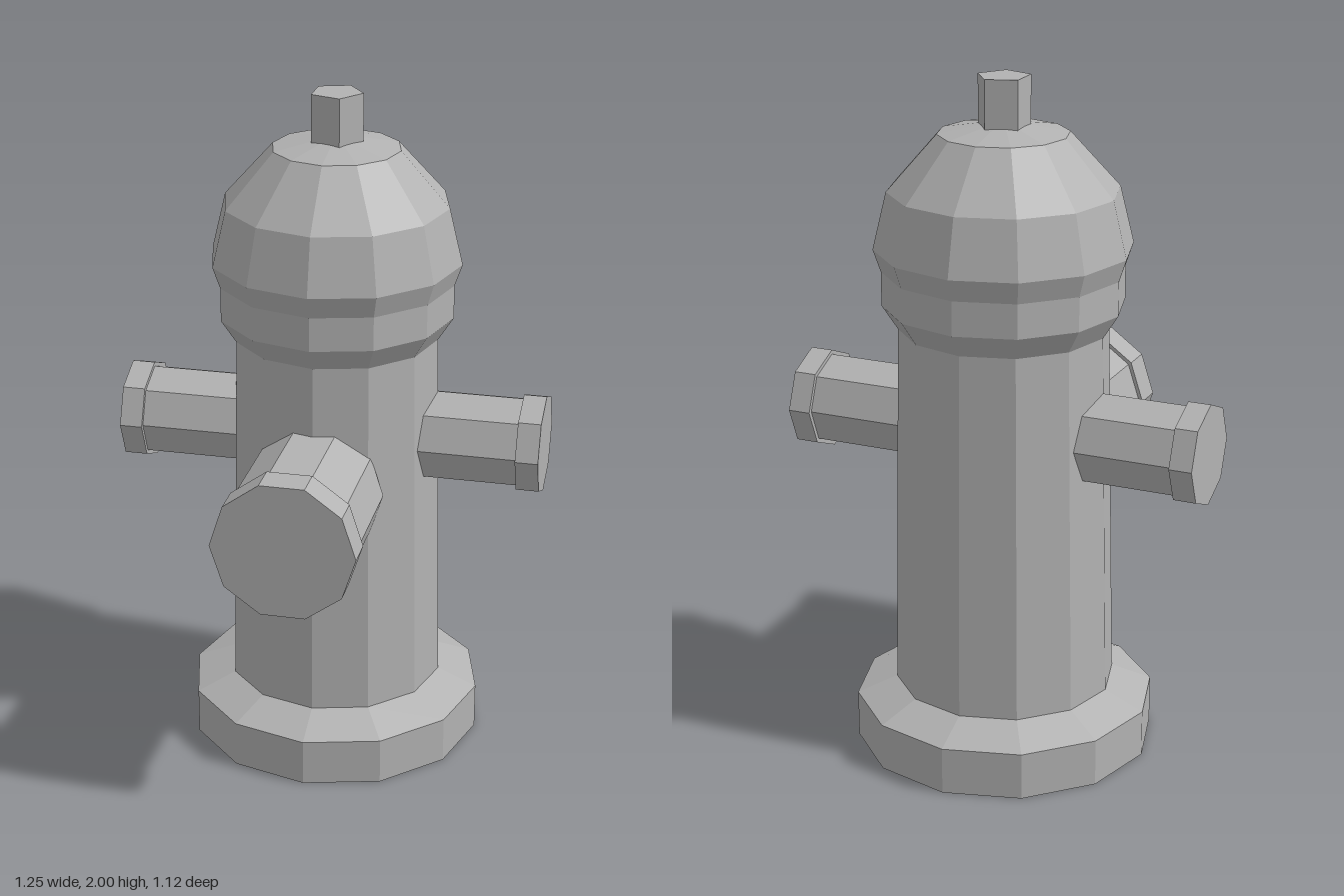
import * as THREE from 'three';

const AXIS_Z = -0.115; // centre line of the upright body

export function createModel() {
  const model = new THREE.Group();
  model.name = 'hydrant';
  const iron = new THREE.MeshStandardMaterial({ color: 0xb2b2b2, flatShading: true, side: THREE.DoubleSide });
  iron.name = 'grey iron';

  function add(name, geometry, parent = model) {
    const mesh = new THREE.Mesh(geometry, iron);
    mesh.name = name;
    parent.add(mesh);
    return mesh;
  }

  // Twelve-sided turned part from [radius, height] pairs, bottom to top
  function turned(name, profile) {
    const points = profile.map(([r, y]) => new THREE.Vector2(r, y));
    add(name, new THREE.LatheGeometry(points, 12)).position.z = AXIS_Z;
  }

  // Body, hollow and open underneath
  turned('baseFlange', [[0.443, 0], [0.443, 0.14], [0.325, 0.19]]);
  turned('barrel', [[0.325, 0.19], [0.303, 1.28]]);
  turned('bonnet', [
    [0.303, 1.28], [0.348, 1.35], [0.348, 1.45], [0.37, 1.515],
    [0.33, 1.68], [0.187, 1.84], [0, 1.875],
  ]);

  // Five-sided operating nut, one corner towards +x
  const nut = new THREE.CylinderGeometry(0.078, 0.078, 0.15, 5, 1, false, Math.PI / 2);
  add('operatingNut', nut).position.set(0, 1.925, AXIS_Z);

  // Outlet along its own +y: open pipe, then a slightly wider closed cap
  function outlet(name, sides, start, joint, end, pipeR, capR) {
    const group = new THREE.Group();
    group.name = name;
    const pipe = new THREE.CylinderGeometry(pipeR, pipeR, joint - start, sides, 1, true, Math.PI / 2);
    const cap = new THREE.CylinderGeometry(capR, capR, end - joint, sides, 1, false, Math.PI / 2);
    add(name + 'Pipe', pipe, group).position.y = (start + joint) / 2;
    add(name + 'Cap', cap, group).position.y = (joint + end) / 2;
    model.add(group);
    return group;
  }

  // Large front outlet
  const front = outlet('frontOutlet', 10, 0.14, 0.467, 0.56, 0.197, 0.208);
  front.rotation.x = Math.PI / 2;
  front.position.y = 0.885;

  // Pair of small side outlets
  for (const [name, side] of [['leftOutlet', 1], ['rightOutlet', -1]]) {
    const arm = outlet(name, 8, 0.26, 0.56, 0.627, 0.137, 0.15);
    arm.rotation.z = -side * Math.PI / 2;
    arm.position.set(0, 0.98, AXIS_Z);
  }

  return model;
}
